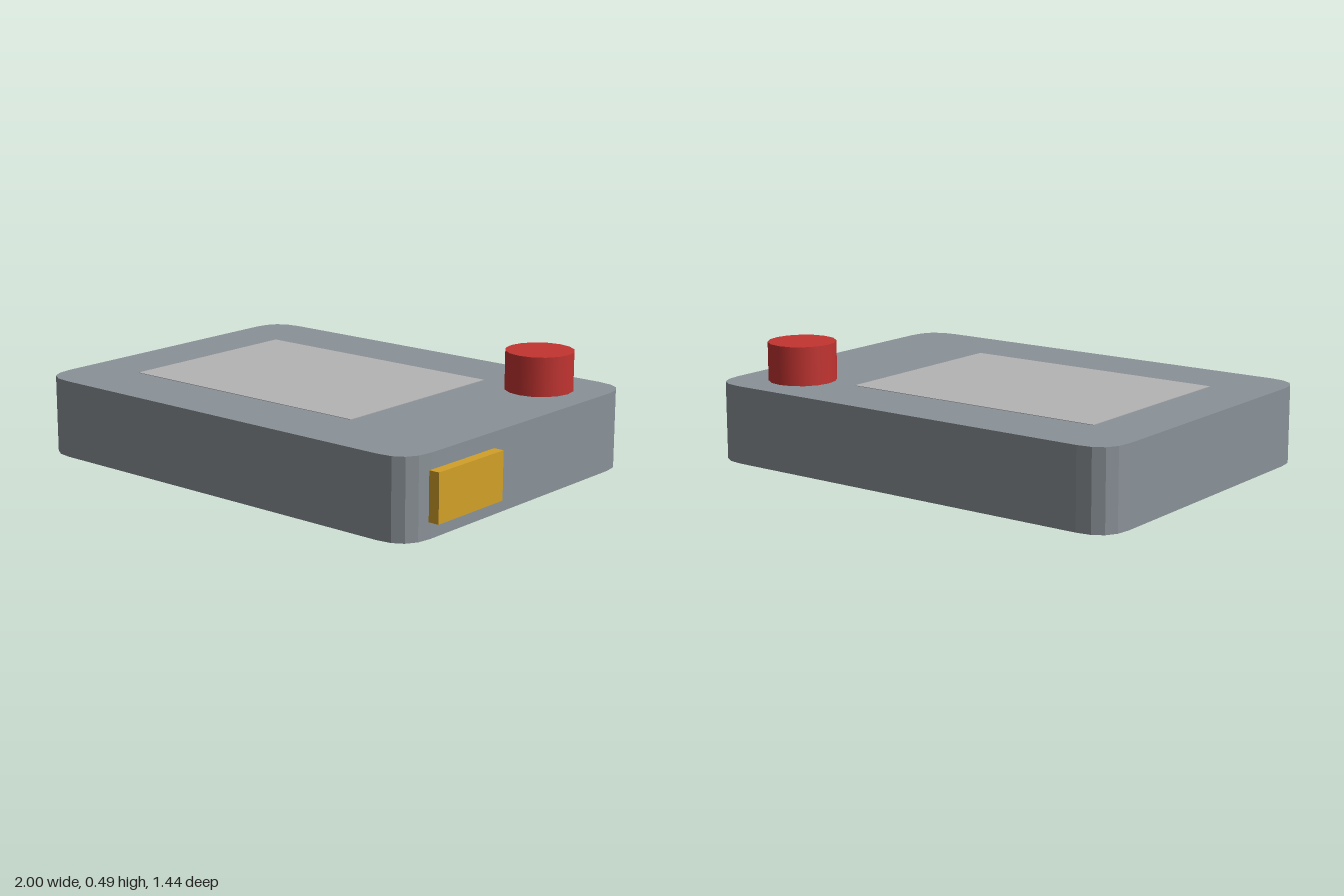
import * as THREE from 'three';

const paint = (color) => new THREE.MeshStandardMaterial({ color });

function addPart(group, name, geometry, color, x, y, z) {
  const mesh = new THREE.Mesh(geometry, paint(color));
  mesh.name = name;
  mesh.position.set(x, y, z);
  group.add(mesh);
  return mesh;
}

// Rectangle centred on the origin with quadratic rounded corners
function roundedRect(w, d, r) {
  const x = w / 2, y = d / 2;
  const s = new THREE.Shape();
  s.moveTo(-x + r, -y);
  s.lineTo(x - r, -y);
  s.quadraticCurveTo(x, -y, x, -y + r);
  s.lineTo(x, y - r);
  s.quadraticCurveTo(x, y, x - r, y);
  s.lineTo(-x + r, y);
  s.quadraticCurveTo(-x, y, -x, y - r);
  s.lineTo(-x, -y + r);
  s.quadraticCurveTo(-x, -y, -x + r, -y);
  return s;
}

export function createModel() {
  const group = new THREE.Group();
  group.name = 'handheldDevice';

  // Flat case with faceted rounded corners
  const caseHeight = 0.327;
  const caseGeometry = new THREE.ExtrudeGeometry(roundedRect(1.956, 1.436, 0.14), {
    depth: caseHeight, bevelEnabled: false, curveSegments: 4,
  });
  caseGeometry.rotateX(-Math.PI / 2);
  addPart(group, 'case', caseGeometry, 0x8a9298, -0.022, 0, 0);

  // Screen panel, almost flush with the top of the case
  addPart(group, 'screen', new THREE.BoxGeometry(1.176, 0.01, 0.85), 0xb4b4b4,
    -0.15, caseHeight - 0.003, -0.003);

  // Round push button on the back left corner
  addPart(group, 'button', new THREE.CylinderGeometry(0.142, 0.142, 0.162, 16), 0xc23431,
    0.696, caseHeight + 0.081, -0.458);

  // Side tab on the left wall
  addPart(group, 'sideTab', new THREE.BoxGeometry(0.06, 0.197, 0.39), 0xd2a028,
    0.97, 0.164, 0.393);

  return group;
}
